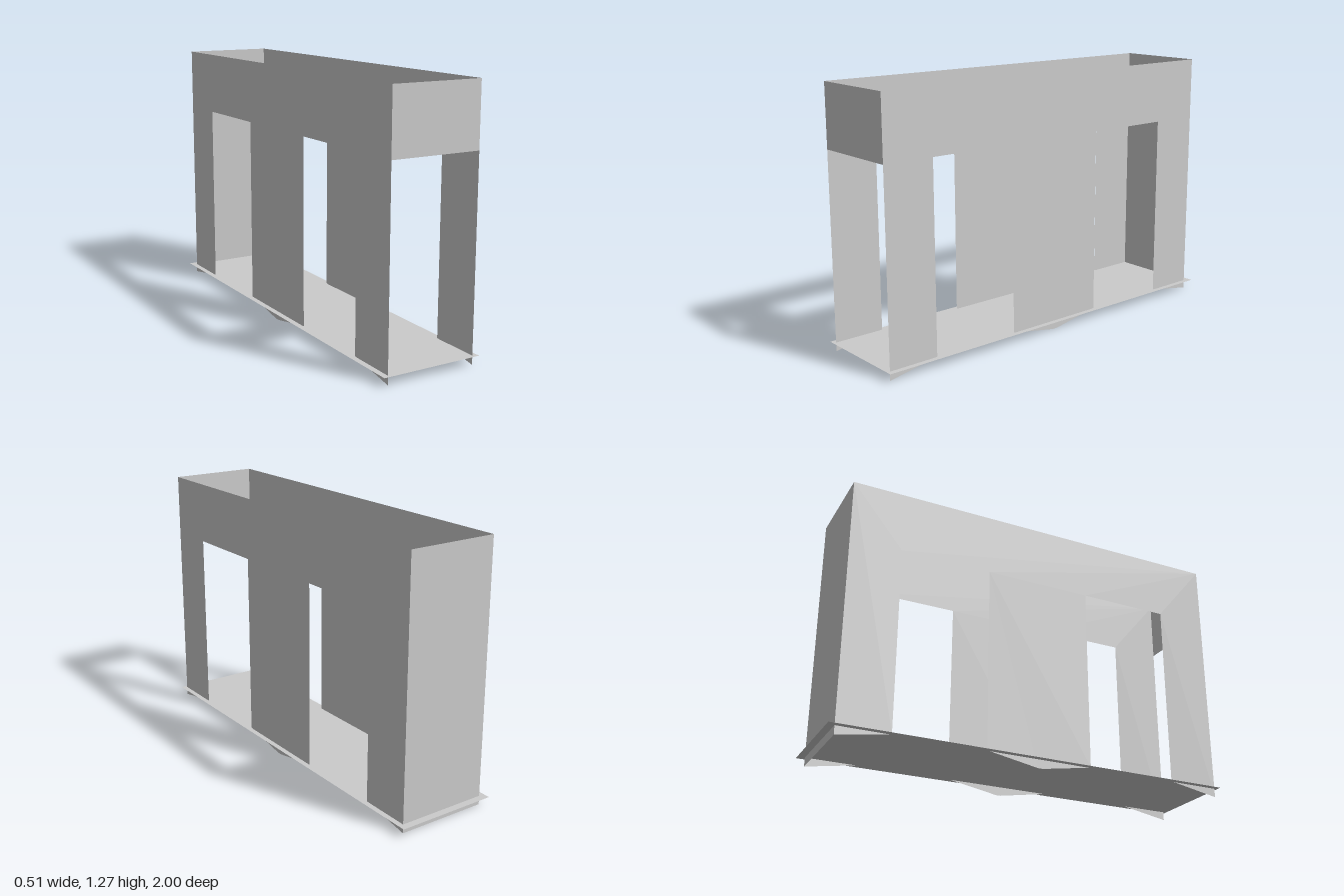
import * as THREE from 'three';

const FRONT = 0.985, BACK = -0.965, MID = 0.01;
const TOP = 1.27, DOOR_TOP = 0.963, SILL = 0.045;
const LEFT = 0.227, RIGHT = -0.225;

export function createModel() {
  const group = new THREE.Group();
  const material = new THREE.MeshStandardMaterial({
    color: 0xcccccc, side: THREE.DoubleSide, flatShading: true,
  });
  const add = (name, geometry, x, y, z) => {
    const mesh = new THREE.Mesh(geometry, material);
    mesh.name = name;
    mesh.position.set(x, y, z);
    group.add(mesh);
  };

  // Side wall outline in (z, y): two doorways, pillar feet tapering below the floor
  const outline = [
    [FRONT, TOP], [FRONT, 0], [0.73, SILL], [0.73, DOOR_TOP],
    [0.277, DOOR_TOP], [0.277, SILL], [MID + 0.012, 0], [MID - 0.012, 0],
    [-0.258, SILL], [-0.258, DOOR_TOP], [-0.71, DOOR_TOP], [-0.71, SILL],
    [BACK, 0], [BACK, TOP],
  ].map(([z, y]) => new THREE.Vector2(z, y));
  const wall = new THREE.ShapeGeometry(new THREE.Shape(outline)).rotateY(-Math.PI / 2);
  add('leftWall', wall, LEFT, 0, 0);
  add('rightWall', wall, RIGHT, 0, 0);

  // Full back wall and the lintel over the open front
  const width = LEFT - RIGHT, centre = (LEFT + RIGHT) / 2;
  add('backWall', new THREE.PlaneGeometry(width, TOP).rotateY(Math.PI), centre, TOP / 2, BACK);
  add('frontLintel', new THREE.PlaneGeometry(width, TOP - DOOR_TOP),
    centre, (TOP + DOOR_TOP) / 2, FRONT);

  // Thin floor sheet, slightly wider than the walls
  add('floor', new THREE.PlaneGeometry(0.506, 2).rotateX(-Math.PI / 2), 0, SILL - 0.002, 0);

  return group;
}
